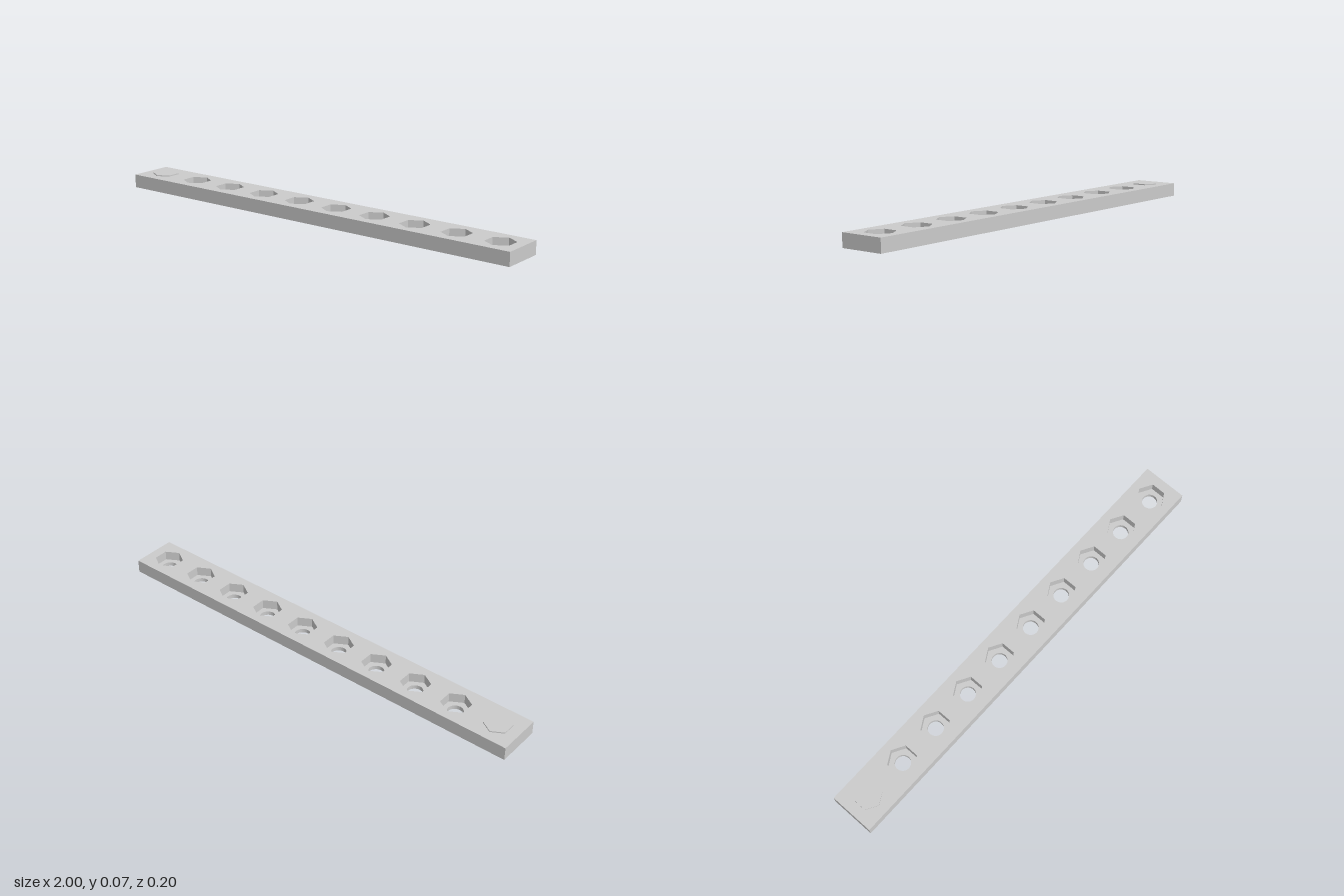
import * as THREE from 'three';

const BOTTOM = 0.009, FLOOR = 0.027, TOP = 0.069; // underside, pocket floor, upper face
const SIZE = 0.2, COUNT = 10;

const material = new THREE.MeshStandardMaterial({ color: 0xcccccc, flatShading: true });

// Hexagon with corners pointing along z
function hexagon(path, radius) {
  const points = [];
  for (let i = 0; i < 6; i++) {
    const a = Math.PI / 2 + i * Math.PI / 3;
    points.push(new THREE.Vector2(radius * Math.cos(a), radius * Math.sin(a)));
  }
  return path.setFromPoints(points).closePath();
}

// Square slab between two heights, with an optional hole
function slab(y0, y1, hole) {
  const h = SIZE / 2;
  const shape = new THREE.Shape([[-h, -h], [h, -h], [h, h], [-h, h]].map(p => new THREE.Vector2(...p)));
  if (hole) shape.holes.push(hole);
  return new THREE.ExtrudeGeometry(shape, { depth: y1 - y0, bevelEnabled: false, curveSegments: 16 })
    .rotateX(-Math.PI / 2).translate(0, y0, 0);
}

function addMesh(parent, geometry, name) {
  const mesh = new THREE.Mesh(geometry, material);
  mesh.name = name;
  parent.add(mesh);
}

export function createModel() {
  const model = new THREE.Group();
  model.name = 'perforatedBar';

  const bore = new THREE.Path().absarc(0, 0, 0.034, 0, Math.PI * 2, true);
  const base = slab(BOTTOM, FLOOR, bore);
  const pocket = slab(FLOOR, TOP, hexagon(new THREE.Path(), 0.064));

  for (let i = 0; i < COUNT; i++) {
    const segment = new THREE.Group();
    segment.position.x = (i - (COUNT - 1) / 2) * SIZE;
    model.add(segment);
    if (i === 0) {
      // Solid end with a hexagonal peg through it
      segment.name = 'pegSegment';
      addMesh(segment, slab(BOTTOM, TOP), 'endBlock');
      const peg = new THREE.ExtrudeGeometry(hexagon(new THREE.Shape(), 0.06), { depth: 0.074, bevelEnabled: false });
      addMesh(segment, peg.rotateX(-Math.PI / 2), 'hexPeg');
    } else {
      // Hexagonal pocket over a round through hole
      segment.name = 'pocketSegment' + i;
      addMesh(segment, base, 'boredBase');
      addMesh(segment, pocket, 'hexPocket');
    }
  }
  return model;
}
